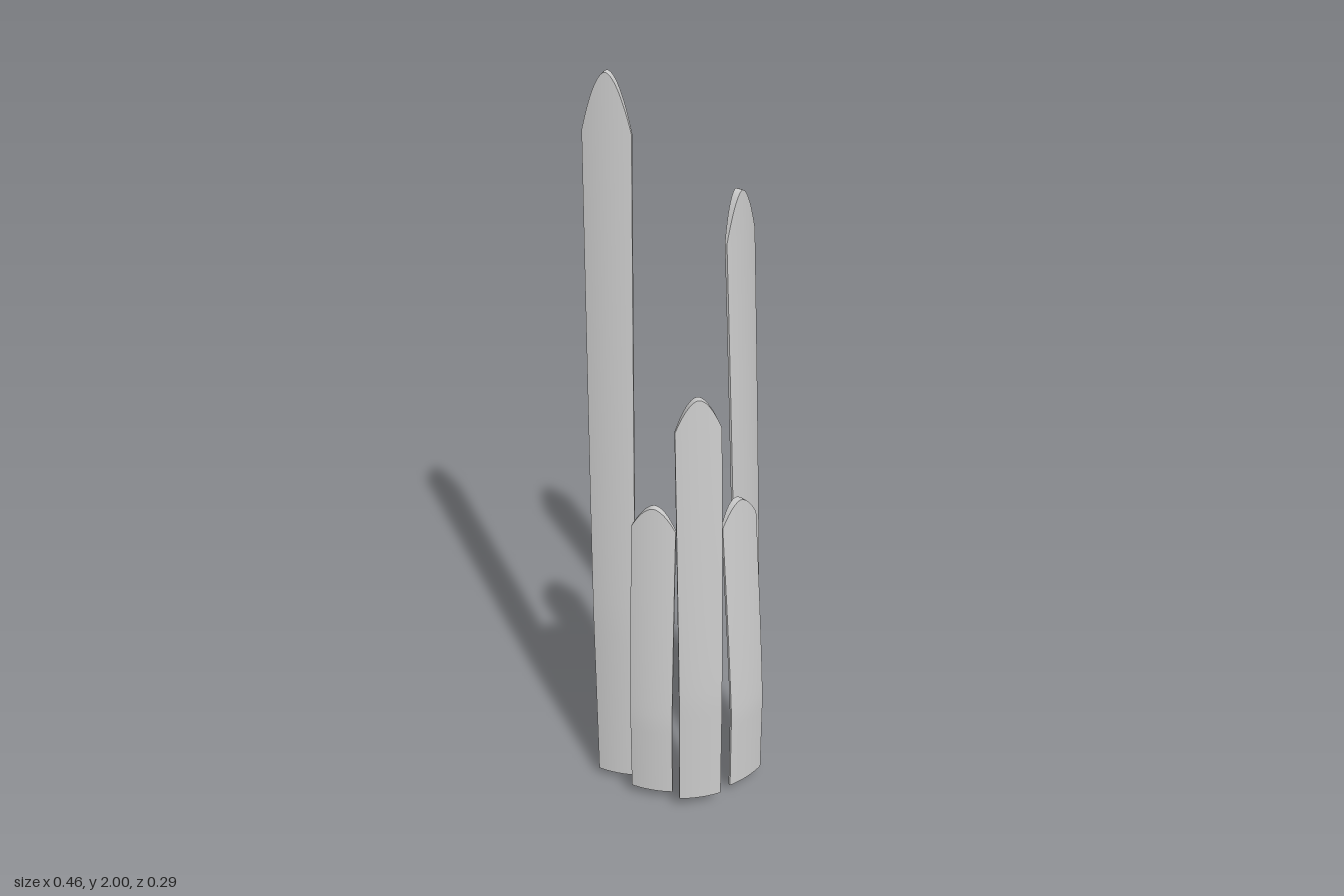
import * as THREE from 'three';

const HALF_WIDTH = 0.0565;
const LEAN = 0.051;

// Lens-section blade with an arched tip: upright at the base, then leaning backwards
function bladeGeometry(bottom, top) {
  const height = top - bottom;
  const tip = 0.068 * height;
  const bend = bottom + 0.27 * height;
  const geo = new THREE.BoxGeometry(1, 1, 1, 24, 30, 1);
  const pos = geo.attributes.position;
  for (let i = 0; i < pos.count; i++) {
    const u = pos.getX(i) * 2;
    const edgeTop = top - tip * Math.pow(Math.abs(u), 1.8);
    const y = bottom + (pos.getY(i) + 0.5) * (edgeTop - bottom);
    const half = 0.003 + 0.006 * (1 - u * u);
    const t = Math.max(0, (y - bend) / (top - bend));
    const z = Math.sign(pos.getZ(i)) * half - LEAN * Math.pow(t, 1.15);
    pos.setXYZ(i, u * HALF_WIDTH, y, z);
  }
  geo.computeVertexNormals();
  return geo;
}

export function createModel() {
  const model = new THREE.Group();
  model.name = 'bladeCluster';
  const material = new THREE.MeshStandardMaterial({ color: 0xcccccc });

  // Blades around an open arc: base x, base z, turn in degrees, bottom, top
  const blades = [
    ['tallRightBlade', -0.178, -0.024, -26.5, 0.028, 2.0],
    ['shortRightBlade', -0.103, 0.071, -25.6, 0.04, 0.93],
    ['middleBlade', 0.015, 0.134, 0, 0.05, 1.26],
    ['shortLeftBlade', 0.153, 0.075, 29.5, 0.04, 0.93],
    ['tallLeftBlade', 0.185, -0.075, 41.5, 0, 1.685],
  ];
  for (const [name, x, z, turn, bottom, top] of blades) {
    const blade = new THREE.Mesh(bladeGeometry(bottom, top), material);
    blade.name = name;
    blade.position.set(x, 0, z);
    blade.rotation.y = THREE.MathUtils.degToRad(turn);
    model.add(blade);
  }
  return model;
}
